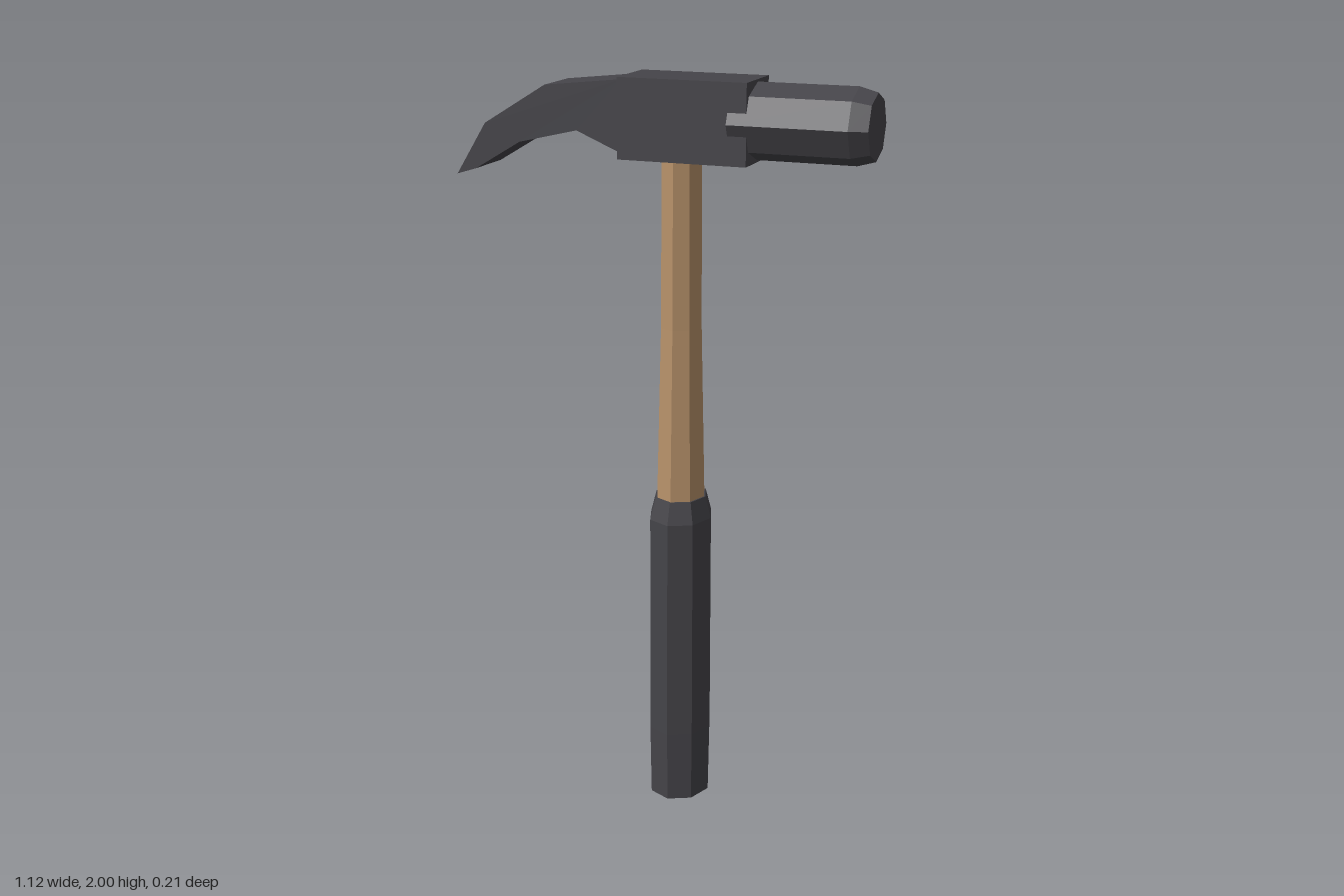
import * as THREE from 'three';

export function createModel() {
  const model = new THREE.Group();
  model.name = 'hammer';

  const material = (name, color) => {
    const m = new THREE.MeshStandardMaterial({ color, flatShading: true });
    m.name = name;
    return m;
  };
  const dark = material('darkSteel', 0x454449);
  const wood = material('wood', 0xb8926a);

  const add = (name, geometry, mat) => {
    const mesh = new THREE.Mesh(geometry, mat);
    mesh.name = name;
    model.add(mesh);
    return mesh;
  };
  // Eight-sided turned form from [radius, height] pairs
  const octagonal = (profile) =>
    new THREE.LatheGeometry(profile.map(([r, y]) => new THREE.Vector2(r, y)), 8);

  const handleX = 0.048;
  const headY = 1.896;

  // Handle: oval in section, deeper along z
  const grip = add('grip', octagonal([
    [0, 0], [0.084, 0], [0.0875, 0.2], [0.0865, 0.82], [0.071, 0.88], [0, 0.88],
  ]), dark);
  const shaft = add('shaft', octagonal([
    [0.067, 0.87], [0.056, 1.35], [0.054, 1.83],
  ]), wood);
  for (const part of [grip, shaft]) {
    part.position.x = handleX;
    part.scale.z = 1.18;
  }

  // Head block
  const block = add('headBlock', new THREE.BoxGeometry(0.346, 0.208, 0.172), dark);
  block.position.set(0.077, headY, 0);

  // Striking end with a chamfered face
  const striker = add('striker', octagonal([
    [0, 0.2], [0.098, 0.2], [0.098, 0.512], [0.085, 0.56], [0, 0.56],
  ]), dark);
  striker.rotation.z = -Math.PI / 2;
  striker.position.y = headY;

  // Curved wedge at the other end
  const outline = [
    [-0.09, 1.993], [-0.302, 1.97], [-0.475, 1.864], [-0.56, 1.726],
    [-0.505, 1.743], [-0.376, 1.82], [-0.214, 1.858], [-0.09, 1.806],
  ].map(([x, y]) => new THREE.Vector2(x, y));
  const clawGeometry = new THREE.ExtrudeGeometry(new THREE.Shape(outline), {
    depth: 0.148, bevelEnabled: false,
  });
  clawGeometry.translate(0, 0, -0.074);
  add('claw', clawGeometry, dark);

  return model;
}
